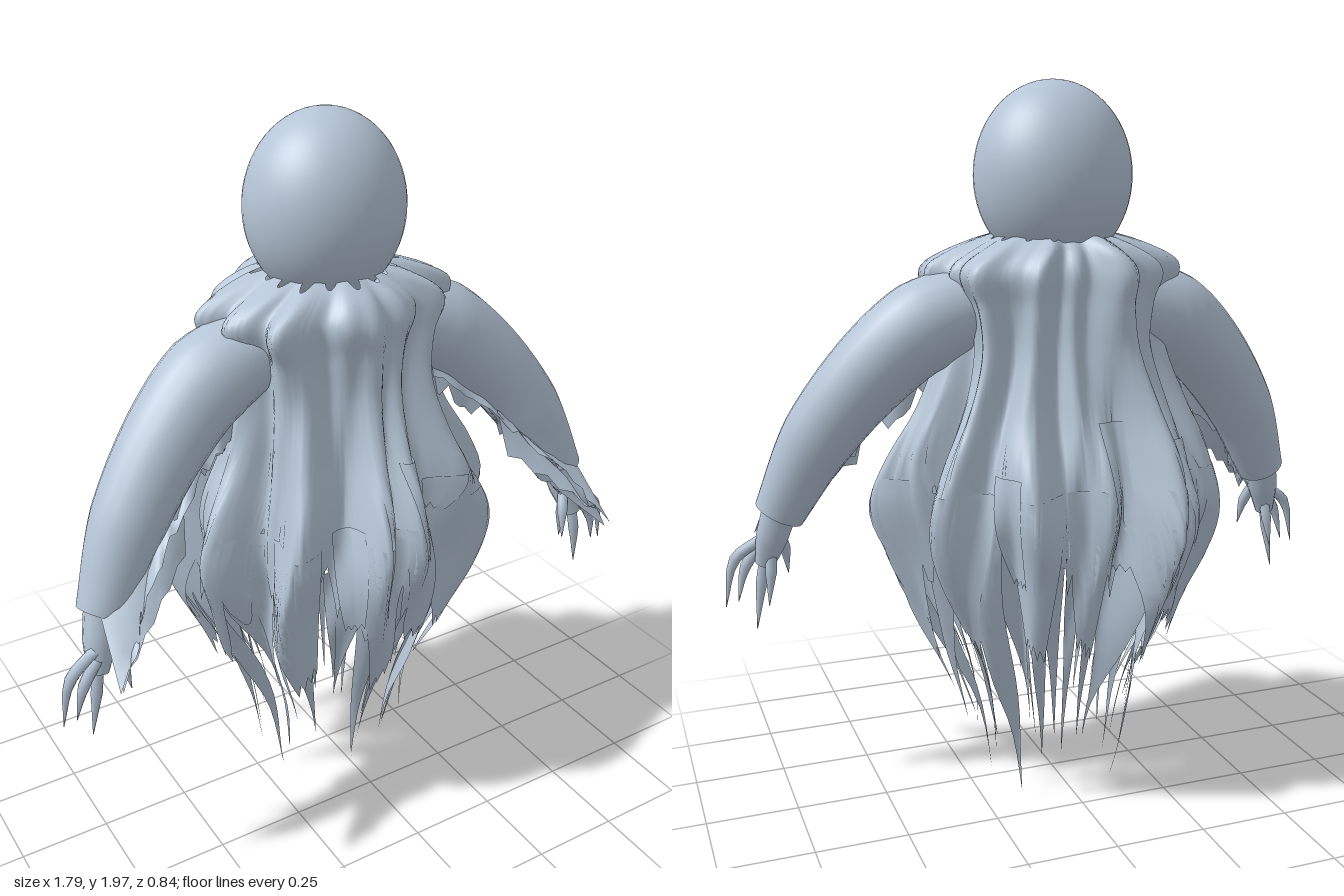
import * as THREE from 'three';

const cloth = new THREE.MeshStandardMaterial({ color: 0xb5c5d6, side: THREE.DoubleSide });
cloth.name = 'pale blue grey';

// Seeded random numbers for the torn cloth
let seed = 7;
const rnd = (a = 0, b = 1) => {
  seed = (seed * 16807) % 2147483647;
  return a + (b - a) * (seed / 2147483647);
};

// Grid surface from a function of u and v in 0..1
function surface(fn, nu, nv, closed = false) {
  const pos = [], idx = [], row = closed ? nu : nu + 1;
  for (let j = 0; j <= nv; j++) for (let i = 0; i < row; i++) pos.push(...fn(i / nu, j / nv));
  for (let j = 0; j < nv; j++) for (let i = 0; i < nu; i++) {
    const k = (i + 1) % row, a = j * row + i, b = j * row + k, c = a + row, d = b + row;
    idx.push(a, b, c, b, d, c);
  }
  const g = new THREE.BufferGeometry();
  g.setAttribute('position', new THREE.Float32BufferAttribute(pos, 3));
  g.setIndex(idx);
  g.computeVertexNormals();
  return g;
}

function add(parent, name, geometry) {
  const m = new THREE.Mesh(geometry, cloth);
  m.name = name;
  parent.add(m);
  return m;
}

function addGroup(parent, name) {
  const g = new THREE.Group();
  g.name = name;
  parent.add(g);
  return g;
}

// Cloak profile: height, half width, half depth, fold depth
const profile = [
  [0.03, 0.25, 0.2, 0.2], [0.3, 0.3, 0.25, 0.22], [0.5, 0.38, 0.32, 0.26], [0.7, 0.47, 0.39, 0.32],
  [0.87, 0.51, 0.43, 0.36], [1.0, 0.47, 0.395, 0.34], [1.15, 0.38, 0.31, 0.28], [1.3, 0.325, 0.26, 0.22],
  [1.42, 0.335, 0.255, 0.2], [1.52, 0.36, 0.26, 0.2], [1.575, 0.25, 0.215, 0.18], [1.61, 0.13, 0.13, 0.05],
];
const spline = new THREE.CubicInterpolant(profile.map(p => p[0]), profile.flatMap(p => p.slice(1)), 3);

// Main pleats: angle and reach
const TAU = 2 * Math.PI;
const pleats = [
  [0.1, 1.02], [0.74, 0.98], [1.3, 0.93], [1.65, 1.02], [2.27, 1.04], [2.9, 0.98],
  [3.46, 1.03], [3.87, 0.95], [4.3, 1.1], [4.71, 0.86], [5.12, 1.02], [5.58, 1.02],
];

// Pleat valley (0 ridge, up to 1 in wide valleys) and reach at angle t
function pleatAt(t) {
  const a = pleats[0][0] + ((t - pleats[0][0]) % TAU + TAU) % TAU;
  let i = pleats.length - 1;
  while (i > 0 && pleats[i][0] > a) i--;
  const next = pleats[(i + 1) % pleats.length];
  const end = i === pleats.length - 1 ? next[0] + TAU : next[0];
  const gap = end - pleats[i][0], f = (a - pleats[i][0]) / gap;
  const s = 0.5 - 0.5 * Math.cos(f * Math.PI);
  return {
    valley: (0.5 - 0.5 * Math.cos(f * TAU)) * Math.min(1, gap / 0.6),
    reach: pleats[i][1] + (next[1] - pleats[i][1]) * s,
  };
}

// Point on the pleated cloak at angle t and height y, pushed out by off
function cloakPoint(t, y, off = 0) {
  const [rx, rz, amp] = spline.evaluate(y);
  const sway = t + 0.08 * Math.sin(7 * (y - 0.87) + 3 * t);
  const { valley, reach } = pleatAt(sway);
  const fine = 0.5 + 0.5 * Math.cos(23 * t + 2 * Math.sin(t) + 4 * y);
  const ripple = 0.5 - 0.5 * Math.sin(17 * t - 7 * y + 2 * Math.sin(2 * t));
  const k = reach - amp * (0.8 * valley + 0.16 * (1 - fine) + 0.12 * ripple);
  return [(rx * k + off) * Math.cos(t), y, (rz * k + off) * Math.sin(t)];
}

// Strip of cloth on the cloak from top to tip, drifting off the surface toward the tip
function rag(t, width, top, tip, endWidth, off, drift = 0, jag = 0) {
  const lean = rnd(-0.08, 0.08), skew = rnd(-jag, jag);
  return surface((u, v) => {
    const w = width * (endWidth + (1 - endWidth) * (1 - v ** 1.6));
    const y = top + (tip + skew * (u - 0.5) + jag * (Math.round(u * 6) % 2) * 0.4 - top) * v;
    return cloakPoint(t + (u - 0.5) * w + lean * v * v, y, off + drift * v);
  }, 6, 14);
}

// Round tapering limb along points, with one radius per point
function limb(points, radii, s, sides = 20, steps = 24) {
  const curve = new THREE.CatmullRomCurve3(points.map(p => new THREE.Vector3(...p)));
  const n = radii.length - 1;
  return surface((u, v) => {
    const c = curve.getPoint(v), T = curve.getTangent(v);
    const N = new THREE.Vector3(0, 0, 1).cross(T).normalize(), B = T.clone().cross(N);
    const i = Math.min(n - 1, Math.floor(v * n));
    const r = radii[i] + (radii[i + 1] - radii[i]) * (v * n - i);
    c.addScaledVector(N, r * Math.cos(u * TAU)).addScaledVector(B, r * Math.sin(u * TAU));
    return [s * c.x, c.y, c.z];
  }, sides, steps, true);
}

function buildArm(parent, s) {
  const arm = addGroup(parent, s > 0 ? 'leftArm' : 'rightArm');
  const path = [[0.2, 1.42, 0], [0.36, 1.36, 0.01], [0.5, 1.24, 0.04], [0.64, 1.06, 0.085], [0.745, 0.85, 0.13]];
  add(arm, 'sleeve', limb(path, [0.11, 0.125, 0.115, 0.1, 0.07], s));

  // Torn drapes hanging under the sleeve, the front one flaring forward at the cuff
  const curve = new THREE.CatmullRomCurve3(path.map(p => new THREE.Vector3(...p)));
  for (const [name, drop, forward] of [['frontDrape', 0.09, 0.17], ['backDrape', 0.12, 0.03]]) {
    const teeth = Array.from({ length: 29 }, () => rnd(0.65, 1.1));
    add(arm, name, surface((u, v) => {
      const c = curve.getPoint(0.12 + 0.88 * u), d = v * teeth[Math.round(u * 28)];
      const r = 0.1 - 0.04 * u;
      return [s * (c.x - 0.75 * r + 0.08 * u * v), c.y - 0.65 * r - drop * d,
        c.z + 0.03 + forward * u ** 1.4 * v + 0.01 * Math.sin(u * 30) * v];
    }, 28, 5));
  }
  add(arm, 'cuffFlap', surface((u, v) => [
    s * (0.5 + 0.27 * u + 0.02 * v), 1.1 - 0.22 * u - 0.14 * v + 0.02 * (Math.round(u * 8) % 2) * v,
    0.12 + 0.06 * u + (0.04 + 0.11 * u) * v], 8, 4));

  // Hand with straight pointed claws
  add(arm, 'hand', limb([[0.74, 0.87, 0.125], [0.765, 0.78, 0.145], [0.785, 0.7, 0.165]], [0.05, 0.045, 0.028], s, 12, 8));
  const fingers = [
    [[0.79, 0.77, 0.17], [0.865, 0.715, 0.18], [0.895, 0.58, 0.18]],
    [[0.79, 0.75, 0.18], [0.835, 0.69, 0.19], [0.86, 0.59, 0.185]],
    [[0.78, 0.74, 0.16], [0.797, 0.64, 0.17], [0.815, 0.51, 0.165]],
    [[0.77, 0.74, 0.14], [0.775, 0.68, 0.13], [0.785, 0.59, 0.12]],
    [[0.745, 0.79, 0.16], [0.725, 0.73, 0.19], [0.715, 0.65, 0.21]],
  ];
  for (const f of fingers) add(arm, 'finger', limb(f, [0.016, 0.016, 0.001], s, 7, 8));
}

export function createModel() {
  seed = 7;
  const model = new THREE.Group();
  model.name = 'raggedGhost';

  // Smooth oval head
  const head = add(model, 'head', new THREE.SphereGeometry(1, 48, 32));
  head.scale.set(0.215, 0.25, 0.203);
  head.position.set(0, 1.75, -0.013);

  // Pleated cloak with a jagged hem that rises in the valleys
  const hems = Array.from({ length: 240 }, (_, i) =>
    0.66 + 0.1 * Math.sin(i * 0.9) + 0.17 * pleatAt(i / 240 * TAU).valley + rnd(-0.05, 0.05));
  add(model, 'cloak', surface((u, v) => {
    const hem = hems[Math.round(u * 240) % 240];
    const top = 1.6 + 0.012 * Math.cos(u * TAU * 17);
    return cloakPoint(u * TAU, top + (hem - top) * v);
  }, 240, 60, true));

  // Broad torn rags on the main pleats
  const broad = addGroup(model, 'broadRags');
  for (const [t] of pleats) add(broad, 'broadRag', rag(t, 0.38, 0.95, rnd(0.4, 0.55), 0.35, 0.003, 0, 0.1));

  // Long pointed tatters round the hem
  const tatters = addGroup(model, 'tatters');
  for (let i = 0; i < 44; i++) {
    const t = (i + rnd(-0.3, 0.3)) / 44 * TAU;
    const tip = i % 9 === 2 ? rnd(0.03, 0.06) : rnd(0.1, 0.4);
    add(tatters, 'tatter', rag(t, rnd(0.12, 0.22), rnd(0.85, 0.95), tip, 0.02, -0.002, rnd(-0.07, 0.01)));
  }

  // Small loose patches on the front and back
  const patches = [[1.3, 1.12, 0.28], [0.95, 1.02, 0.1], [1.9, 0.98, 0.3], [4.5, 1.12, 0.4], [5.3, 1.0, 0.3], [3.9, 1.05, 0.3]];
  for (const [t, y, h] of patches) add(model, 'patch', rag(t, 0.22, y, y - h, 0.5, 0.008, 0, 0.05));

  for (const s of [1, -1]) buildArm(model, s);
  return model;
}
